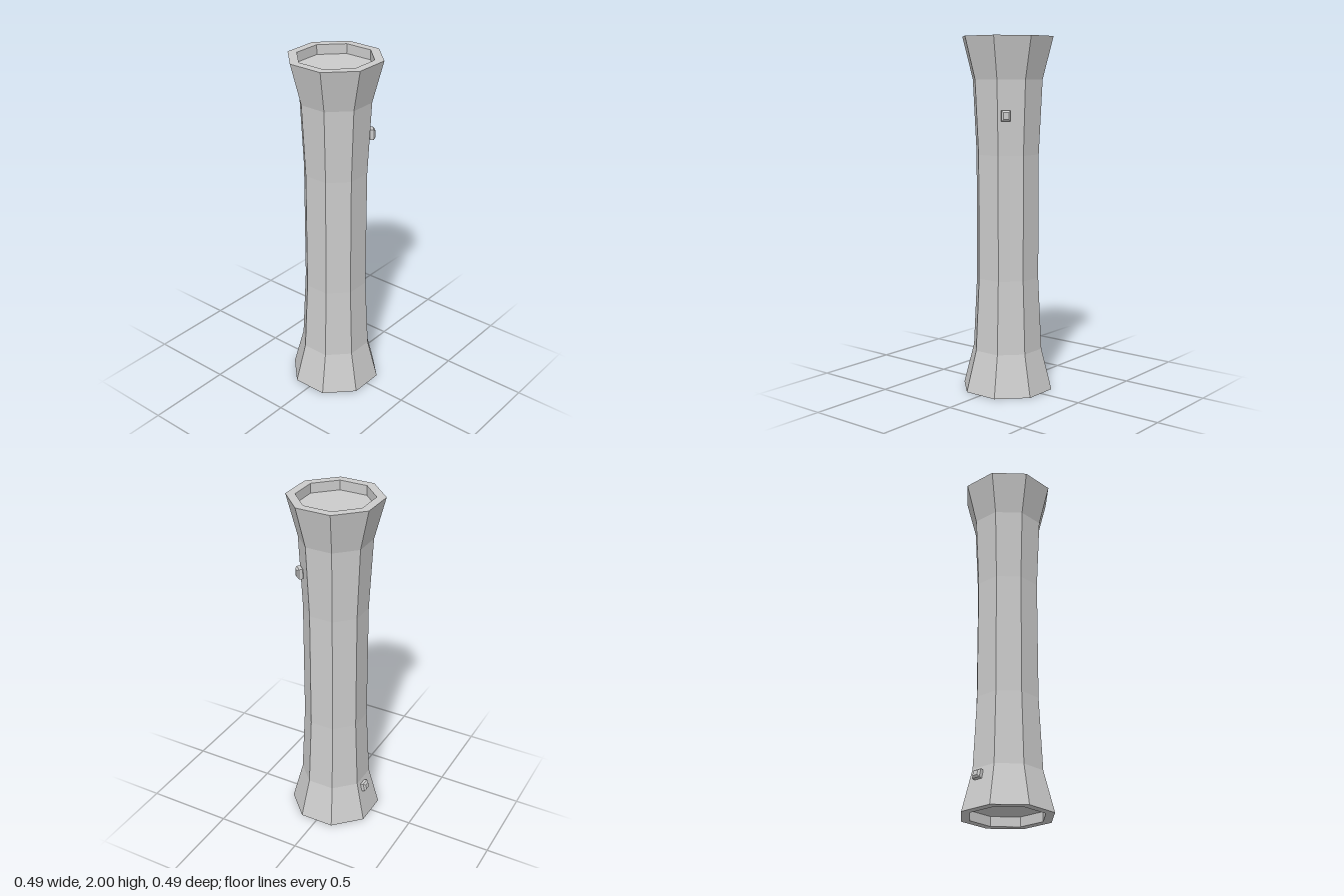
import * as THREE from 'three';

const material = new THREE.MeshStandardMaterial({ color: 0xcccccc, flatShading: true });

// Small square button with a chamfered outer face, sunk slightly into the wall
function makeButton(name, w, h, depth, chamfer) {
  const a = w / 2 - chamfer, b = h / 2 - chamfer;
  const shape = new THREE.Shape([
    new THREE.Vector2(-a, -b), new THREE.Vector2(a, -b),
    new THREE.Vector2(a, b), new THREE.Vector2(-a, b),
  ]);
  const geo = new THREE.ExtrudeGeometry(shape, {
    depth: depth - 2 * chamfer, bevelEnabled: true,
    bevelSize: chamfer, bevelThickness: chamfer, bevelSegments: 1,
  });
  geo.translate(0, 0, chamfer - depth / 2);
  const mesh = new THREE.Mesh(geo, material);
  mesh.name = name;
  mesh.rotation.order = 'YXZ';
  return mesh;
}

export function createModel() {
  const group = new THREE.Group();
  group.name = 'flaredColumn';

  // Octagonal body: [distance to flat side, height], with a recess in each end
  const profile = [
    [0, 0.055], [0.196, 0.055], [0.196, 0], [0.243, 0],
    [0.187, 0.235], [0.168, 0.65], [0.168, 1.35], [0.187, 1.765],
    [0.243, 2], [0.196, 2], [0.196, 1.945], [0, 1.945],
  ];
  const toCorner = 1 / Math.cos(Math.PI / 8);
  const points = profile.map(([r, y]) => new THREE.Vector2(r * toCorner, y));
  const body = new THREE.Mesh(
    new THREE.LatheGeometry(points, 8, Math.PI / 8).toNonIndexed(), material);
  body.geometry.computeVertexNormals();
  body.name = 'octagonalBody';
  group.add(body);

  // Upper button on the front-left diagonal side
  const upper = makeButton('upperButton', 0.05, 0.058, 0.04, 0.01);
  upper.position.set(0.115, 1.57, 0.157);
  upper.rotation.y = Math.PI / 4;
  group.add(upper);

  // Lower button on the back, leaning with the flared foot
  const lower = makeButton('lowerButton', 0.052, 0.048, 0.04, 0.01);
  lower.position.set(0.02, 0.19, -0.207);
  lower.rotation.set(-0.23, Math.PI, 0);
  group.add(lower);

  return group;
}
